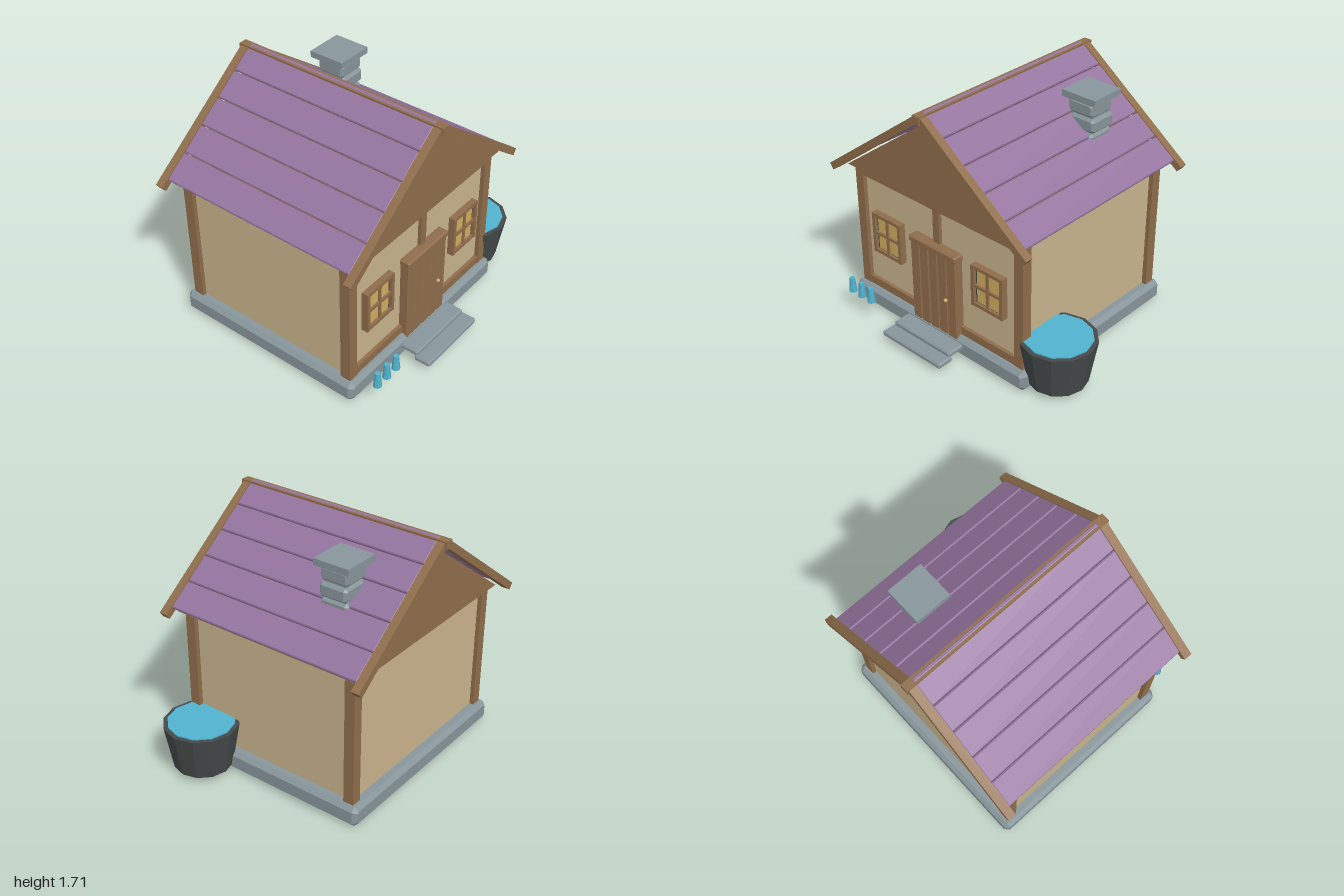
import * as THREE from 'three';

const mat = (name, color) => {
  const m = new THREE.MeshStandardMaterial({ color });
  m.name = name;
  return m;
};

export function createModel() {
  const wood = mat('wood', 0x8f6d4b);
  const plaster = mat('plaster', 0xc8b38c);
  const stone = mat('stone', 0x87959a);
  const shingle = mat('purple shingle', 0x94749e);
  const dark = mat('dark iron', 0x454949);
  const water = mat('water blue', 0x50b2ce);
  const gold = mat('warm gold', 0xd0ad5e);

  const house = new THREE.Group();
  house.name = 'cottage';
  const CX = -0.13, CZ = -0.072;

  const add = (parent, name, geo, material) => {
    const m = new THREE.Mesh(geo, material);
    m.name = name;
    parent.add(m);
    return m;
  };
  // plain box given by its min and max on each axis
  const box = (parent, name, material, x0, x1, y0, y1, z0, z1) => {
    const m = add(parent, name, new THREE.BoxGeometry(x1 - x0, y1 - y0, z1 - z0), material);
    m.position.set((x0 + x1) / 2, (y0 + y1) / 2, (z0 + z1) / 2);
    return m;
  };
  // box with every edge chamfered by b
  const chamferBox = (parent, name, material, x0, x1, y0, y1, z0, z1, b) => {
    const w = (x1 - x0) / 2 - b, h = (y1 - y0) / 2 - b, c = 0.414 * b;
    const s = new THREE.Shape([
      [w, -h + c], [w, h - c], [w - c, h], [-w + c, h],
      [-w, h - c], [-w, -h + c], [-w + c, -h], [w - c, -h],
    ].map(p => new THREE.Vector2(...p)));
    const depth = z1 - z0 - 2 * b;
    const g = new THREE.ExtrudeGeometry(s, { depth, bevelEnabled: true, bevelSize: b, bevelThickness: b, bevelSegments: 1 });
    g.translate(0, 0, -depth / 2);
    const m = add(parent, name, g, material);
    m.position.set((x0 + x1) / 2, (y0 + y1) / 2, (z0 + z1) / 2);
    return m;
  };

  // foundation, steps and walls
  chamferBox(house, 'foundation', stone, -0.92, 0.66, 0, 0.145, -0.79, 0.645, 0.028);
  chamferBox(house, 'upperStep', stone, -0.39, 0.13, 0.07, 0.11, 0.62, 0.77, 0.01);
  chamferBox(house, 'lowerStep', stone, -0.4, 0.14, 0.04, 0.08, 0.75, 0.87, 0.01);
  box(house, 'walls', plaster, -0.85, 0.59, 0.14, 1.07, -0.715, 0.575);

  // timber frame
  for (const x of [-0.88, 0.55])
    for (const z of [-0.745, 0.53])
      box(house, 'cornerPost', wood, x, x + 0.072, 0.14, 1.068, z, z + 0.075);
  box(house, 'sillBeam', wood, -0.81, 0.55, 0.145, 0.205, 0.55, 0.6);
  box(house, 'topBeam', wood, -0.81, 0.55, 1.01, 1.062, 0.55, 0.608);
  box(house, 'middlePost', wood, -0.155, -0.1, 0.2, 1.01, 0.55, 0.6);

  // attic block closing both gables
  const tri = new THREE.Shape();
  tri.moveTo(-0.785, 1.065);
  tri.lineTo(0.785, 1.065);
  tri.lineTo(0, 1.64);
  const attic = add(house, 'gable', new THREE.ExtrudeGeometry(tri, { depth: 1.42, bevelEnabled: false }), wood);
  attic.position.set(CX, 0, CZ - 0.71);

  // roof: each slope is built flat, then tilted down from the ridge
  const tilt = Math.atan(0.746);
  for (const turn of [0, Math.PI]) {
    const side = new THREE.Group();
    side.name = turn ? 'rightRoof' : 'leftRoof';
    side.position.set(CX, 1.722, CZ);
    side.rotation.y = turn;
    const slope = new THREE.Group();
    slope.name = 'slope';
    slope.rotation.z = -tilt;
    side.add(slope);
    for (let i = 0; i < 5; i++) {
      const s = 0.206 * i;
      chamferBox(slope, 'roofBoard', shingle, s + 0.003, s + 0.203, -0.032, -0.002, -0.732, 0.732, 0.007);
    }
    for (const z of [-0.787, 0.73])
      box(slope, 'bargeboard', wood, 0.022, 1.091, -0.05, 0, z, z + 0.057);
    house.add(side);
  }
  box(house, 'ridgeBeam', wood, CX - 0.03, CX + 0.03, 1.655, 1.71, -0.872, 0.728);

  // chimney
  for (const [y, x] of [[1.27, 0.185], [1.375, 0.195], [1.48, 0.182]])
    chamferBox(house, 'chimneyStone', stone, x, x + 0.203, y, y + 0.1, -0.505, -0.3, 0.018);
  box(house, 'chimneyCore', stone, 0.205, 0.37, 1.25, 1.59, -0.485, -0.32);
  box(house, 'chimneyCap', stone, 0.15, 0.418, 1.585, 1.63, -0.537, -0.277);

  // plank door with lintel and knob
  const door = new THREE.Group();
  door.name = 'door';
  house.add(door);
  for (let i = 0; i < 5; i++) {
    const x = -0.333 + i * 0.082;
    chamferBox(door, 'doorPlank', wood, x, x + 0.081, 0.115, 0.73, 0.57, 0.64, 0.006);
  }
  chamferBox(door, 'doorLintel', wood, -0.342, 0.087, 0.715, 0.765, 0.57, 0.65, 0.01);
  add(door, 'doorKnob', new THREE.SphereGeometry(0.013, 10, 8), gold).position.set(-0.01, 0.4, 0.65);

  // windows
  for (const x of [-0.59, 0.33]) {
    const win = new THREE.Group();
    win.name = 'window';
    win.position.set(x, 0.608, 0);
    house.add(win);
    box(win, 'windowBack', dark, -0.125, 0.125, -0.14, 0.14, 0.56, 0.6);
    for (const sx of [-1, 1]) {
      box(win, 'frameSide', wood, sx * 0.122 - 0.013, sx * 0.122 + 0.013, -0.152, 0.152, 0.57, 0.622);
      box(win, 'frameRail', wood, -0.11, 0.11, sx * 0.14 - 0.012, sx * 0.14 + 0.012, 0.57, 0.62);
      for (const sy of [-1, 1])
        box(win, 'pane', gold, sx * 0.053 - 0.042, sx * 0.053 + 0.042, sy * 0.067 - 0.053, sy * 0.067 + 0.053, 0.598, 0.605);
    }
    box(win, 'mullion', wood, -0.01, 0.01, -0.13, 0.13, 0.595, 0.616);
    box(win, 'crossbar', wood, -0.11, 0.11, -0.01, 0.01, 0.595, 0.617);
  }

  // water tub against the side wall
  const tubGeo = new THREE.CylinderGeometry(0.255, 0.2, 0.318, 12).toNonIndexed();
  tubGeo.computeVertexNormals();
  add(house, 'waterTub', tubGeo, dark).position.set(0.742, 0.203, 0.405);
  add(house, 'tubWater', new THREE.CylinderGeometry(0.226, 0.226, 0.02, 12), water).position.set(0.742, 0.36, 0.405);

  // three small tapered glasses by the front wall
  for (const x of [-0.81, -0.715, -0.62]) {
    const g = new THREE.CylinderGeometry(0.018, 0.029, 0.11, 8).toNonIndexed();
    g.computeVertexNormals();
    add(house, 'smallGlass', g, water).position.set(x, 0.21, 0.766);
  }

  return house;
}
